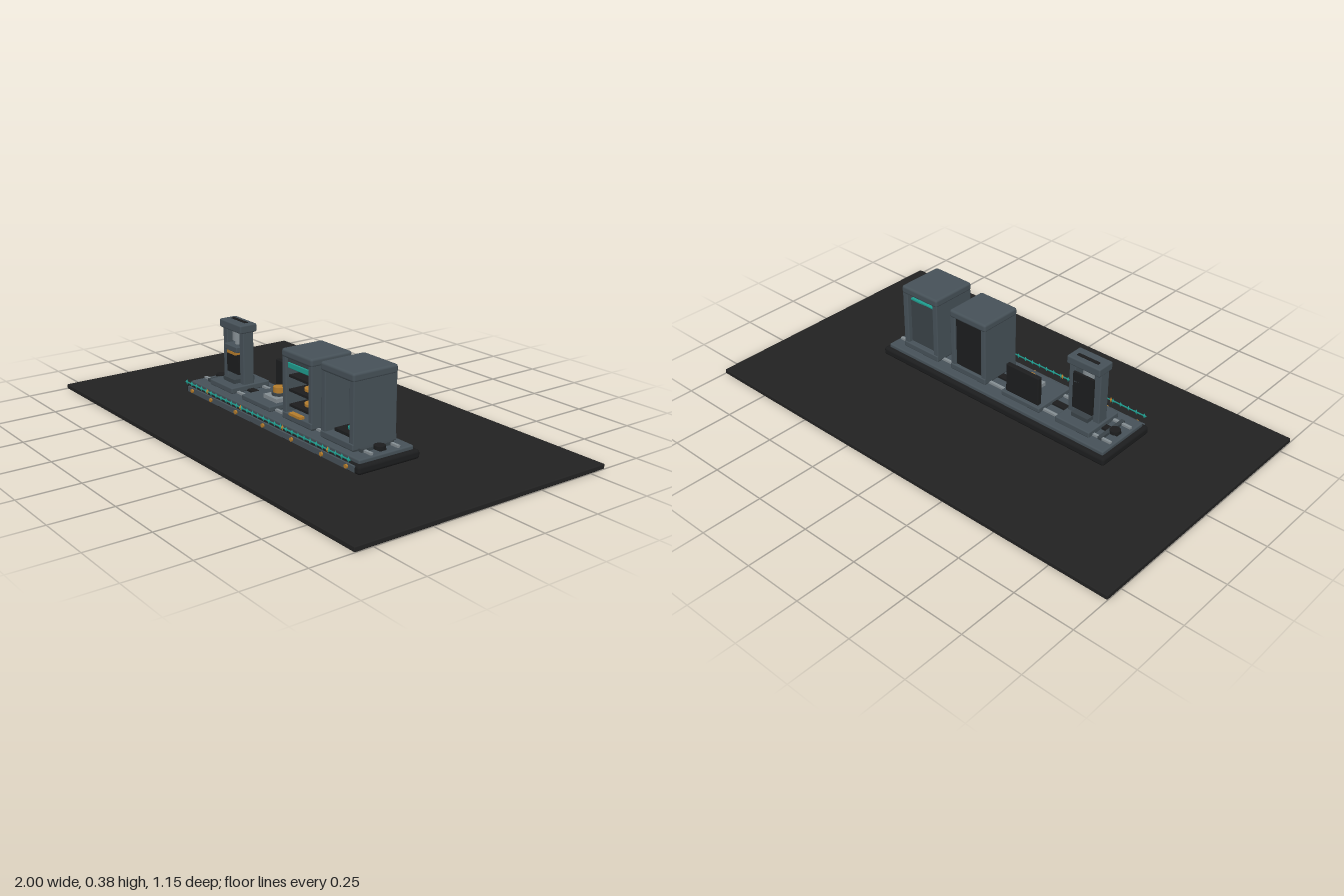
import * as THREE from 'three';
import { RoundedBoxGeometry } from 'three/addons/geometries/RoundedBoxGeometry.js';

const mat = (name, color) => {
  const m = new THREE.MeshStandardMaterial({ color });
  m.name = name;
  return m;
};

export function createModel() {
  const floorMat = mat('charcoal floor', 0x222222);
  const dark = mat('black rubber', 0x1c1d1e);
  const slate = mat('slate housing', 0x465158);
  const panel = mat('dark slate panel', 0x394247);
  const steel = mat('light steel', 0x848d92);
  const teal = mat('teal light', 0x1f9c8e);
  const amber = mat('amber light', 0xb47c2c);

  const model = new THREE.Group();
  model.name = 'productionLine';
  let parent = model;
  const station = (name) => {
    parent = new THREE.Group();
    parent.name = name;
    model.add(parent);
  };
  const add = (name, geo, m, x, y, z) => {
    const mesh = new THREE.Mesh(geo, m);
    mesh.name = name;
    mesh.position.set(x, y, z);
    parent.add(mesh);
    return mesh;
  };
  // Box given by its limits on each axis; r rounds the edges
  const box = (name, m, x0, x1, y0, y1, z0, z1, r = 0) => {
    const s = [x1 - x0, y1 - y0, z1 - z0];
    const geo = r ? new RoundedBoxGeometry(...s, 2, r) : new THREE.BoxGeometry(...s);
    return add(name, geo, m, (x0 + x1) / 2, (y0 + y1) / 2, (z0 + z1) / 2);
  };
  const disc = (name, m, r, h, x, y, z, r2 = r) =>
    add(name, new THREE.CylinderGeometry(r, r2, h, 24), m, x, y, z);

  // Floor slab
  box('floor', floorMat, -1, 1, 0, 0.02, -0.575, 0.575, 0.004);

  // Two-tier base
  station('base');
  box('plinth', dark, -0.583, 0.583, 0.028, 0.064, -0.06, 0.226, 0.012);
  box('deck', slate, -0.565, 0.565, 0.06, 0.08, -0.042, 0.21, 0.006);
  box('frontStrip', slate, -0.56, 0.56, 0.037, 0.06, 0.222, 0.231);
  for (const x of [-0.52, -0.375, -0.19, 0, 0.19, 0.375, 0.52]) {
    const stud = add('marker', new THREE.CylinderGeometry(0.009, 0.009, 0.008, 6), amber, x, 0.049, 0.234);
    stud.rotation.x = Math.PI / 2;
  }
  // Transfer rails and conveyor belt
  for (const z of [0.02, 0.145]) box('rail', steel, -0.555, 0.555, 0.08, 0.089, z - 0.006, z + 0.006);
  box('belt', dark, -0.545, 0.545, 0.08, 0.088, 0.07, 0.1);
  for (const s of [-1, 1]) {
    disc('endRoller', dark, 0.022, 0.014, s * 0.525, 0.09, 0.085);
    box('endStop', panel, s * 0.507 - 0.008, s * 0.507 + 0.008, 0.08, 0.092, 0.01, 0.16);
  }

  // Flow line: chain of small diamonds on a thin wire
  station('flowLine');
  box('wire', teal, -0.555, 0.555, 0.0825, 0.0865, 0.241, 0.245);
  for (let i = 0; i < 30; i++) {
    const d = add('flowDiamond', new THREE.OctahedronGeometry(0.006), teal, -0.545 + i * 0.0376, 0.0845, 0.243);
    d.scale.y = 2;
  }
  for (const x of [-0.385, -0.14, 0.145, 0.425]) {
    const d = add('stationDiamond', new THREE.OctahedronGeometry(0.007), amber, x, 0.0845, 0.243);
    d.scale.y = 1.8;
  }

  // Press
  station('press');
  box('pressBase', slate, -0.473, -0.307, 0.08, 0.105, -0.01, 0.175, 0.005);
  box('crossBeam', slate, -0.468, -0.312, 0.322, 0.357, 0.045, 0.125, 0.006);
  box('beamSlot', dark, -0.44, -0.34, 0.353, 0.36, 0.07, 0.085);
  for (const x of [-0.45, -0.33]) box('post', slate, x - 0.015, x + 0.015, 0.1, 0.326, 0.06, 0.11, 0.004);
  box('backPlate', dark, -0.438, -0.342, 0.135, 0.295, 0.05, 0.06);
  disc('pistonSleeve', steel, 0.024, 0.05, -0.39, 0.302, 0.085);
  disc('pistonRod', steel, 0.014, 0.06, -0.39, 0.262, 0.085);
  box('ram', slate, -0.436, -0.344, 0.235, 0.26, 0.05, 0.125, 0.004);
  box('ramGlow', amber, -0.42, -0.36, 0.222, 0.234, 0.058, 0.122);
  box('die', dark, -0.432, -0.348, 0.14, 0.222, 0.06, 0.115);
  box('pressBed', panel, -0.43, -0.35, 0.105, 0.122, 0.035, 0.135);

  // Inspection table with upright screen
  station('inspectionTable');
  box('tableBase', slate, -0.23, -0.034, 0.08, 0.102, -0.012, 0.178, 0.005);
  box('screen', dark, -0.215, -0.05, 0.102, 0.226, 0, 0.022, 0.004);
  box('workPlate', steel, -0.145, -0.055, 0.102, 0.118, 0.04, 0.13);
  disc('turnpiece', panel, 0.03, 0.012, -0.1, 0.124, 0.085);
  disc('workpiece', amber, 0.024, 0.022, -0.1, 0.141, 0.085);

  // Cabinet shell with open front and back
  const cabinet = (x0, x1, top, roof, z0, z1, wall) => {
    box('cabinetFoot', panel, x0 + 0.006, x1 - 0.006, 0.08, 0.1, z0 + 0.01, z1 - 0.01);
    box('cabinetFloor', slate, x0, x1, 0.085, 0.112, z0, z1, 0.005);
    box('leftWall', slate, x1 - wall, x1, 0.09, top - 0.01, z0 + 0.003, z1 - 0.003, 0.004);
    box('rightWall', slate, x0, x0 + wall, 0.09, top - 0.01, z0 + 0.003, z1 - 0.003, 0.004);
    box('roof', slate, x0 - 0.002, x1 + 0.002, top - roof, top, z0, z1, 0.01);
  };

  // Oven with glowing shelves
  station('oven');
  cabinet(0.05, 0.238, 0.362, 0.034, -0.013, 0.178, 0.024);
  box('ovenBack', dark, 0.07, 0.218, 0.11, 0.33, 0, 0.012);
  box('tealHood', teal, 0.074, 0.214, 0.288, 0.312, 0.13, 0.168, 0.004);
  box('hoodTrim', panel, 0.074, 0.214, 0.312, 0.33, 0.11, 0.165);
  for (const y of [0.145, 0.205, 0.262]) {
    box('shelf', dark, 0.074, 0.214, y - 0.012, y - 0.002, 0.012, 0.16);
    if (y < 0.25) disc('hotPart', amber, 0.032, 0.01, 0.144, y + 0.003, 0.1);
  }
  box('doorSill', amber, 0.108, 0.18, 0.112, 0.122, 0.165, 0.187);

  // Tall finishing booth
  station('finishingBooth');
  cabinet(0.307, 0.499, 0.375, 0.035, -0.018, 0.188, 0.026);
  box('boothBack', panel, 0.331, 0.475, 0.11, 0.31, 0.005, 0.015);
  box('lightBar', teal, 0.331, 0.475, 0.308, 0.315, 0.005, 0.02);
  box('gauge', amber, 0.418, 0.446, 0.168, 0.25, 0.015, 0.03);
  box('boothBed', dark, 0.345, 0.461, 0.112, 0.124, 0.03, 0.15);
  disc('bedRing', teal, 0.034, 0.008, 0.403, 0.128, 0.09);
  disc('bedPart', steel, 0.022, 0.014, 0.403, 0.135, 0.09);

  return model;
}
